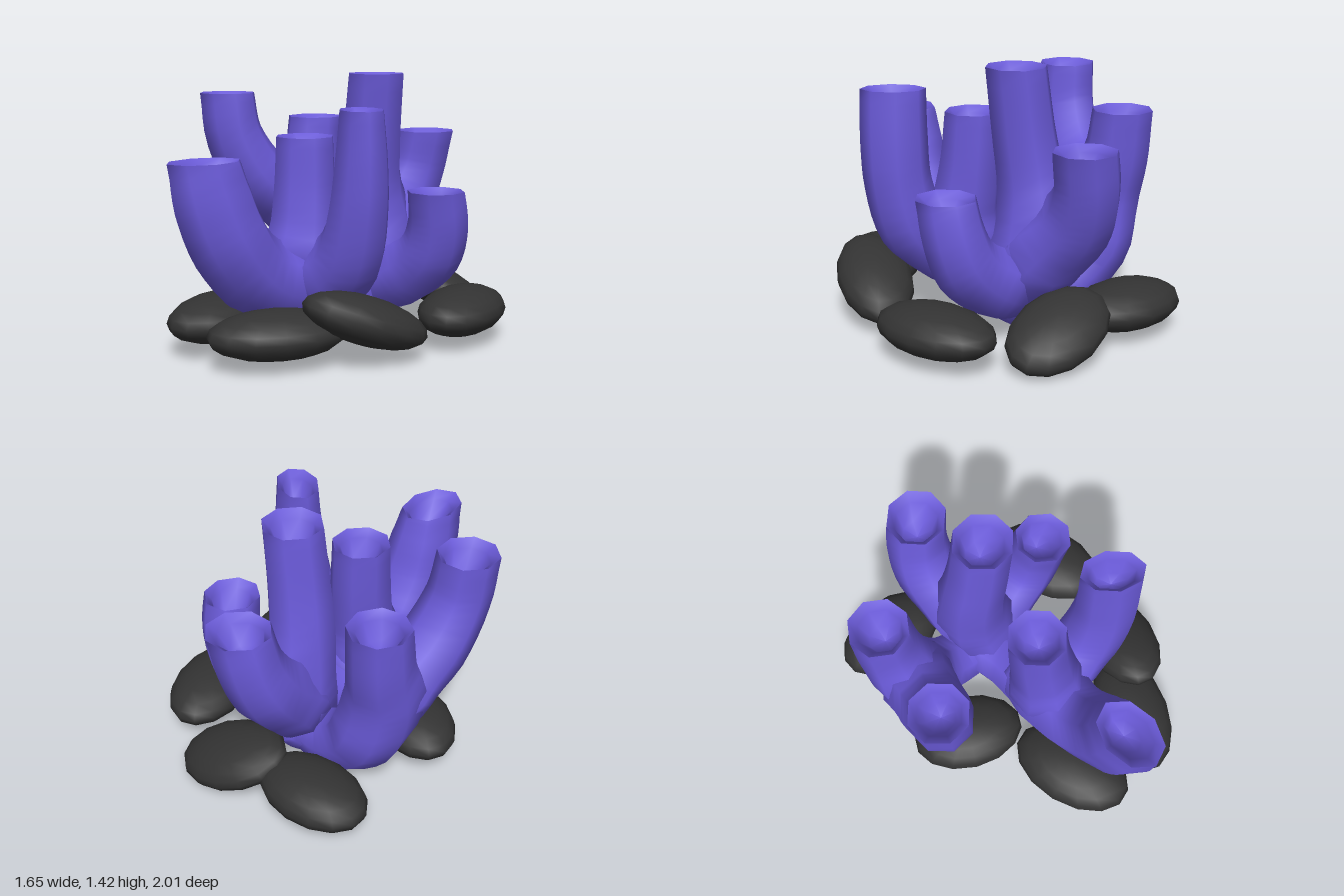
import * as THREE from 'three';

const coralPurple = new THREE.MeshStandardMaterial({ color: 0x6a5ad8 });
const rockGrey = new THREE.MeshStandardMaterial({ color: 0x333333 });
coralPurple.name = 'coralPurple';
rockGrey.name = 'rockGrey';

const SIDES = 8;
const STEPS = 4;     // rings per path segment
const FILLET = 0.15; // reach of the webbing between branches

// Paths of [x, y, z, radius]; each branch runs from the base to its open tip
const paths = {
  coralBase: [[0, 0.32, 0.42, 0.14], [0, 0.23, 0.2, 0.17], [-0.01, 0.18, -0.1, 0.165],
    [-0.04, 0.175, -0.34, 0.175], [0, 0.24, -0.48, 0.11]],
  frontBranch: [[0, 0.2, -0.02, 0.15], [0.01, 0.28, 0.2, 0.2], [0.03, 0.38, 0.48, 0.2],
    [0.035, 0.6, 0.67, 0.2], [0.02, 0.82, 0.755, 0.18], [0.01, 1.02, 0.8, 0.145]],
  middleBranch: [[0, 0.2, 0.12, 0.15], [0, 0.48, 0.18, 0.185], [0, 0.65, 0.16, 0.18],
    [-0.01, 0.85, 0.14, 0.17], [-0.02, 1.1, 0.13, 0.16]],
  frontLeftBranch: [[0, 0.21, 0.1, 0.13], [0.18, 0.33, 0.14, 0.18], [0.36, 0.5, 0.15, 0.185],
    [0.44, 0.75, 0.16, 0.175], [0.46, 1.0, 0.16, 0.17], [0.46, 1.27, 0.16, 0.16]],
  tallBranch: [[0, 0.18, -0.3, 0.15], [-0.03, 0.45, -0.38, 0.195], [-0.045, 0.8, -0.37, 0.18],
    [-0.01, 1.1, -0.35, 0.168], [0.03, 1.42, -0.34, 0.16]],
  backBranch: [[0, 0.22, -0.36, 0.15], [-0.05, 0.45, -0.51, 0.2], [-0.1, 0.66, -0.695, 0.185],
    [-0.085, 0.85, -0.785, 0.17], [-0.045, 1.07, -0.815, 0.165]],
  backLeftBranch: [[0, 0.21, -0.33, 0.14], [0.2, 0.3, -0.4, 0.175], [0.38, 0.45, -0.42, 0.175],
    [0.45, 0.62, -0.41, 0.165], [0.47, 0.81, -0.37, 0.155]],
  backRightBranch: [[0, 0.18, -0.33, 0.15], [-0.25, 0.17, -0.35, 0.16], [-0.48, 0.36, -0.36, 0.18],
    [-0.56, 0.65, -0.35, 0.19], [-0.59, 0.88, -0.4, 0.175], [-0.6, 1.14, -0.43, 0.163]],
  frontRightBranch: [[-0.47, 0.42, -0.36, 0.14], [-0.56, 0.65, -0.19, 0.19], [-0.61, 0.8, -0.01, 0.19],
    [-0.655, 1.05, 0.13, 0.168], [-0.68, 1.3, 0.16, 0.158]],
};

// Oval tips seen from above: [angle, along, across]
const ovals = {
  frontBranch: [Math.PI / 2, 1.38, 1],
  frontLeftBranch: [0.6, 1.08, 0.72],
};

// Centre and radius at position u along a path
function sample(path, curve, u) {
  const k = Math.min(Math.floor(u * (path.length - 1)), path.length - 2);
  const radius = THREE.MathUtils.lerp(path[k][3], path[k + 1][3], u * (path.length - 1) - k);
  return { centre: curve.getPoint(u), radius };
}

const toCurve = (path) => new THREE.CatmullRomCurve3(path.map(([x, y, z]) => new THREE.Vector3(x, y, z)));

// Sweeps rings along a path; a hollow tube ends in a level rim and a cup.
// Skin close to a neighbouring tube swells outward, webbing the forks.
function tubeGeometry(path, hollow, neighbours, [angle, along, across] = [0, 1, 1]) {
  const curve = toCurve(path);
  const n = (path.length - 1) * STEPS;
  const normal = new THREE.Vector3(1, 0, 0.4);
  const longAxis = new THREE.Vector3(Math.cos(angle), 0, Math.sin(angle));
  const shortAxis = new THREE.Vector3(-Math.sin(angle), 0, Math.cos(angle));
  const positions = [], index = [];
  let rings = 0;

  const swell = (point) => {
    let gap = FILLET;
    for (const { centre, radius } of neighbours) gap = Math.min(gap, Math.abs(point.distanceTo(centre) - radius));
    return (1 - gap / FILLET) ** 2 * FILLET / 4 * THREE.MathUtils.smoothstep(point.y, 0.18, 0.38);
  };

  const addRing = (centre, tangent, radius, blend, level) => {
    const side = new THREE.Vector3().crossVectors(tangent, normal);
    for (let j = 0; j < SIDES; j++) {
      const a = (j / SIDES) * Math.PI * 2;
      const out = normal.clone().multiplyScalar(Math.cos(a)).addScaledVector(side, Math.sin(a));
      const v = out.clone().multiplyScalar(radius);
      if (level) v.addScaledVector(tangent, -v.y / tangent.y);
      const l = v.dot(longAxis), s = v.dot(shortAxis);
      v.addScaledVector(longAxis, l * (along - 1) * blend).addScaledVector(shortAxis, s * (across - 1) * blend);
      v.add(centre);
      if (!level && radius > 0) v.addScaledVector(out, swell(v));
      positions.push(v.x, v.y, v.z);
    }
    rings++;
  };

  let p, t, r;
  for (let i = 0; i <= n; i++) {
    ({ centre: p, radius: r } = sample(path, curve, i / n));
    t = curve.getTangent(i / n);
    normal.addScaledVector(t, -normal.dot(t)).normalize();
    if (i === 0) addRing(p, t, 0, 0, false);
    addRing(p, t, r, (i / n) ** 2, hollow && i === n);
  }
  const rim = rings - 1;
  if (hollow) {
    // repeated rim ring keeps the lip sharp, then the cup goes down
    for (const [scale, depth] of [[1, 0], [0.74, 0.04], [0.5, 0.15], [0, 0.17]]) {
      addRing(p.clone().addScaledVector(t, -depth), t, r * scale, 1, true);
    }
  } else addRing(p, t, 0, 1, false);

  for (let i = 0; i < rings - 1; i++) {
    if (hollow && i === rim) continue;
    for (let j = 0; j < SIDES; j++) {
      const a = i * SIDES + j, b = i * SIDES + (j + 1) % SIDES;
      index.push(a, b, b + SIDES, a, b + SIDES, a + SIDES);
    }
  }
  const geometry = new THREE.BufferGeometry();
  geometry.setAttribute('position', new THREE.Float32BufferAttribute(positions, 3));
  geometry.setIndex(index);
  geometry.computeVertexNormals();
  return geometry;
}

// Rocks: centre, half sizes, [pitch, yaw, roll]
const rocks = [
  [[-0.42, 0.17, -0.72], [0.215, 0.125, 0.325], [0, 1.57, 0]],
  [[0.08, 0.165, -0.79], [0.22, 0.115, 0.325], [0.32, 1.8, -0.28]],
  [[0.59, 0.17, -0.46], [0.215, 0.125, 0.345], [0, 0.36, 0]],
  [[0.565, 0.225, 0.22], [0.205, 0.125, 0.355], [-0.34, -0.3, 0]],
  [[0.32, 0.17, 0.59], [0.215, 0.125, 0.36], [0, -0.42, 0]],
  [[-0.155, 0.17, 0.6], [0.22, 0.125, 0.35], [0, 0.3, 0]],
  [[-0.47, 0.17, 0.05], [0.215, 0.125, 0.315], [0, 1.1, 0]],
];

export function createModel() {
  const model = new THREE.Group();
  model.name = 'coral';

  // Points along every tube, used to find neighbours
  const samples = Object.entries(paths).flatMap(([name, path]) => {
    const curve = toCurve(path);
    return Array.from({ length: 41 }, (_, i) => ({ name, ...sample(path, curve, i / 40) }));
  });
  for (const [name, path] of Object.entries(paths)) {
    const neighbours = samples.filter((s) => s.name !== name);
    const tube = new THREE.Mesh(tubeGeometry(path, name !== 'coralBase', neighbours, ovals[name]), coralPurple);
    tube.name = name;
    model.add(tube);
  }

  const rockGeometry = new THREE.SphereGeometry(1, 14, 10);
  rocks.forEach(([centre, size, [pitch, yaw, roll]], i) => {
    const rock = new THREE.Mesh(rockGeometry, rockGrey);
    rock.name = `rock${i + 1}`;
    rock.position.set(...centre);
    rock.scale.set(...size);
    rock.rotation.set(pitch, yaw, roll, 'YXZ');
    model.add(rock);
  });
  return model;
}
